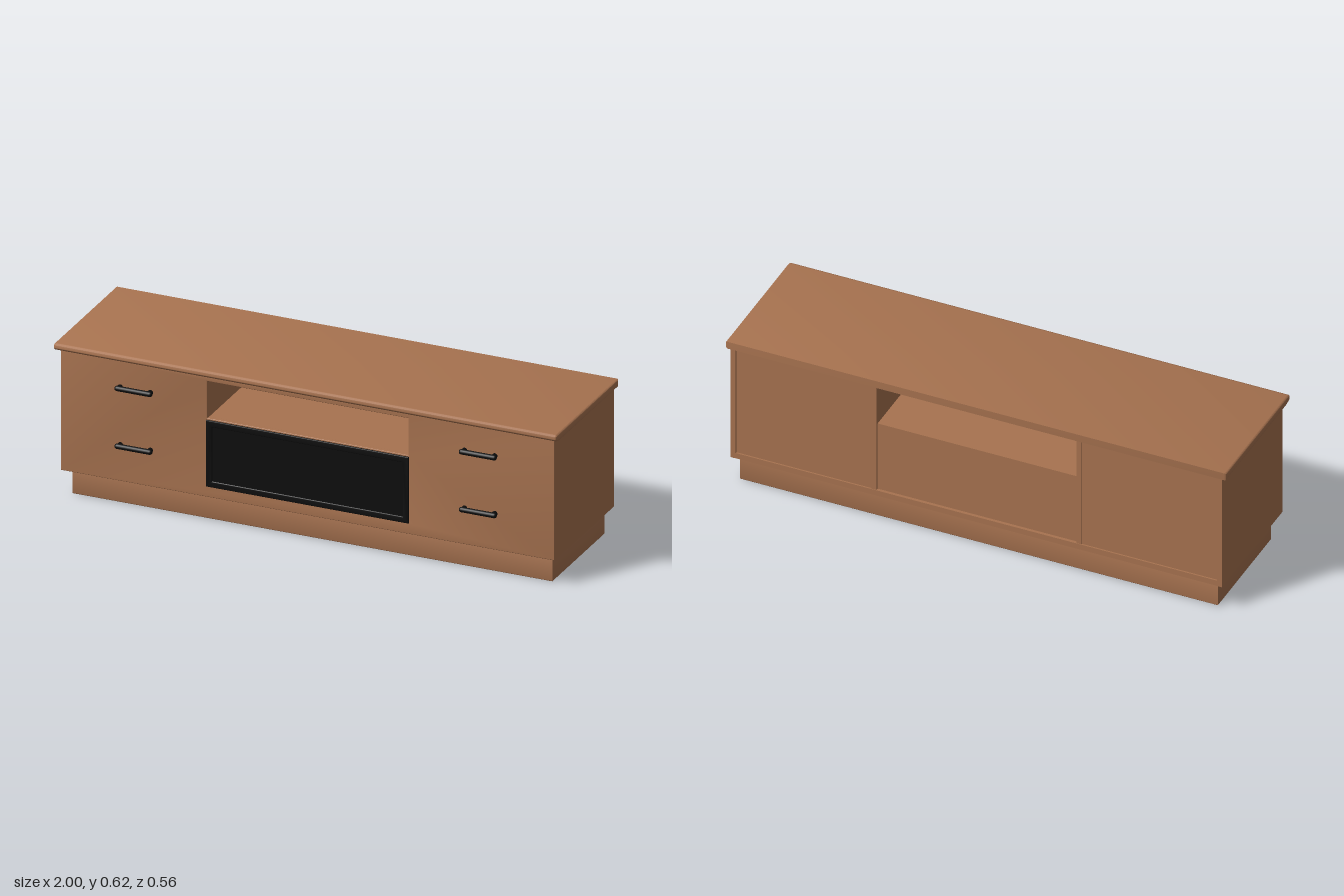
import * as THREE from 'three';
import { toCreasedNormals } from 'three/addons/utils/BufferGeometryUtils.js';
import { RoundedBoxGeometry } from 'three/addons/geometries/RoundedBoxGeometry.js';

const wood = new THREE.MeshStandardMaterial({ color: 0xa87350 });
wood.name = 'warm wood';
const black = new THREE.MeshStandardMaterial({ color: 0x0d0d0d });
black.name = 'black';

// Rectangle outline; also used for holes.
function rect(x0, x1, y0, y1, PathType = THREE.Path) {
  const p = new PathType();
  p.moveTo(x0, y0);
  p.lineTo(x1, y0);
  p.lineTo(x1, y1);
  p.lineTo(x0, y1);
  p.closePath();
  return p;
}

// Extrusion of exact outer size with softened edges, centred on its depth.
function softExtrude(shape, depth, bevel, curveSegments = 8) {
  const geo = new THREE.ExtrudeGeometry(shape, {
    depth: depth - 2 * bevel, bevelEnabled: true, bevelThickness: bevel,
    bevelSize: bevel, bevelOffset: -bevel, bevelSegments: 3, curveSegments,
  });
  geo.translate(0, 0, bevel - depth / 2);
  return toCreasedNormals(geo, 0.7);
}

export function createModel() {
  const root = new THREE.Group();
  root.name = 'mediaConsole';

  function add(name, geo, mat, parent = root) {
    const mesh = new THREE.Mesh(geo, mat);
    mesh.name = name;
    parent.add(mesh);
    return mesh;
  }
  // Box from its limits, optionally with rounded edges.
  function box(name, [x0, x1], [y0, y1], [z0, z1], mat = wood, radius = 0) {
    const size = [x1 - x0, y1 - y0, z1 - z0];
    const geo = radius ? new RoundedBoxGeometry(...size, 3, radius) : new THREE.BoxGeometry(...size);
    const mesh = add(name, geo, mat);
    mesh.position.set((x0 + x1) / 2, (y0 + y1) / 2, (z0 + z1) / 2);
    return mesh;
  }

  // Top board with a rounded nose along the front (profile x is -z)
  const nose = new THREE.Shape();
  nose.moveTo(0.278, 0.585);
  nose.lineTo(0.278, 0.615);
  nose.lineTo(-0.266, 0.615);
  nose.bezierCurveTo(-0.284, 0.615, -0.284, 0.592, -0.266, 0.589);
  nose.lineTo(-0.245, 0.585);
  nose.closePath();
  const topGeo = softExtrude(nose, 2, 0.006, 12);
  topGeo.rotateY(Math.PI / 2);
  add('topBoard', topGeo, wood);

  // One-piece front with the open niche and the door opening
  const face = rect(-0.982, 0.982, 0.105, 0.587, THREE.Shape);
  face.holes.push(rect(-0.4, 0.4, 0.418, 0.565), rect(-0.4, 0.4, 0.15, 0.41));
  add('frontFace', softExtrude(face, 0.02, 0.003), wood).position.z = 0.242;

  // Carcass
  box('bottomPanel', [-0.962, 0.962], [0.105, 0.128], [-0.274, 0.235]);
  box('nicheShelf', [-0.4, 0.4], [0.395, 0.417], [-0.262, 0.235]);
  box('centreBackPanel', [-0.4, 0.4], [0.128, 0.395], [-0.262, -0.25]);
  box('topStretcher', [-0.4, 0.4], [0.566, 0.587], [-0.01, 0.01]);
  for (const s of [-1, 1]) {
    const side = s < 0 ? 'right' : 'left';
    const span = (a, b) => (s > 0 ? [a, b] : [-b, -a]);
    box(side + 'SidePanel', span(0.962, 0.982), [0.105, 0.587], [-0.275, 0.24]);
    box(side + 'Partition', span(0.4, 0.42), [0.128, 0.587], [-0.272, 0.235]);
    box(side + 'BackPanel', span(0.42, 0.962), [0.128, 0.587], [-0.268, -0.256]);
  }

  // Hollow plinth, open underneath
  const plinth = rect(-0.955, 0.955, -0.21, 0.25, THREE.Shape);
  plinth.holes.push(rect(-0.93, 0.93, -0.185, 0.225));
  const plinthGeo = softExtrude(plinth, 0.106, 0.003);
  plinthGeo.rotateX(-Math.PI / 2);
  add('plinth', plinthGeo, wood).position.y = 0.053;

  // Black door: raised frame around a slightly sunk panel
  const frame = rect(-0.403, 0.403, 0.147, 0.412, THREE.Shape);
  frame.holes.push(rect(-0.378, 0.378, 0.172, 0.387));
  add('doorFrame', softExtrude(frame, 0.02, 0.004), black).position.z = 0.247;
  box('doorPanel', [-0.385, 0.385], [0.165, 0.395], [0.238, 0.252], black);

  // Bar handles on two short posts
  for (const x of [-0.685, 0.685]) {
    for (const y of [0.25, 0.48]) {
      const handle = new THREE.Group();
      handle.name = 'handle';
      handle.position.set(x, y, 0.27);
      root.add(handle);
      const bar = new THREE.CapsuleGeometry(0.01, 0.13, 6, 16);
      bar.rotateZ(Math.PI / 2);
      add('handleBar', bar, black, handle);
      for (const px of [-0.06, 0.06]) {
        const post = new THREE.CylinderGeometry(0.01, 0.01, 0.02, 16);
        post.rotateX(Math.PI / 2);
        add('handlePost', post, black, handle).position.set(px, 0, -0.01);
      }
    }
  }
  return root;
}
